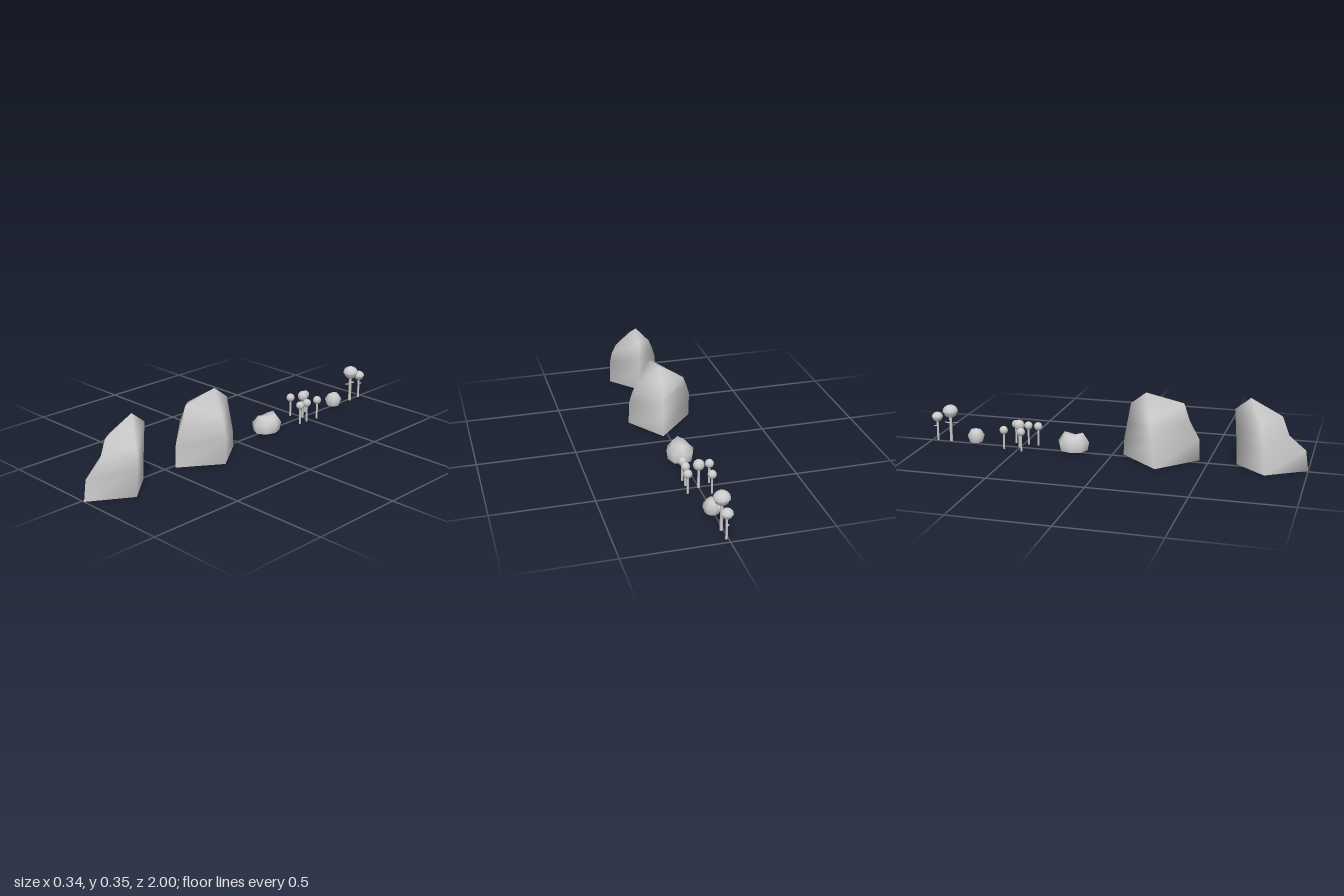
import * as THREE from 'three';

const material = new THREE.MeshStandardMaterial({ color: 0xcccccc, side: THREE.DoubleSide });

function add(parent, name, geometry, x = 0, y = 0, z = 0) {
  const mesh = new THREE.Mesh(geometry, material);
  mesh.name = name;
  mesh.position.set(x, y, z);
  parent.add(mesh);
  return mesh;
}

// Smooth skin over rings of [x, y, z] points (counter-clockwise from above), with apex and flat base
function loft(rings, apex) {
  const n = rings[0].length;
  const base = rings[0];
  const points = [...rings.flat(), apex, ...base];
  const index = [];
  const tip = rings.length * n;
  for (let i = 0; i < rings.length; i++) {
    for (let j = 0; j < n; j++) {
      const k = (j + 1) % n;
      const a = i * n + j, b = i * n + k;
      if (i < rings.length - 1) index.push(a, b, b + n, a, b + n, a + n);
      else index.push(a, b, tip);
    }
  }
  for (let j = 1; j < n - 1; j++) index.push(tip + 1, tip + 2 + j, tip + 1 + j);
  const geometry = new THREE.BufferGeometry();
  geometry.setAttribute('position', new THREE.Float32BufferAttribute(points.flat(), 3));
  geometry.setIndex(index);
  geometry.computeVertexNormals();
  return geometry;
}

// Four corner ridges of a big rock, each listed from the ground up
function bigRock(parent, name, { front, right, back, left, apex }) {
  const rings = front.map((_, i) => [front[i], right[i], back[i], left[i]]);
  add(parent, name, loft(rings, apex));
}

// Eight-sided pebble; levels are [y, radius factor, lift of the front and back ends]
function pebble(parent, name, x, z, rx, rz, levels, top) {
  const rings = levels.map(([y, r, lift]) => Array.from({ length: 8 }, (_, i) => {
    const a = (i / 8) * Math.PI * 2;
    return [Math.sin(a) * rx * r, y + lift * Math.cos(2 * a), Math.cos(a) * rz * r];
  }));
  add(parent, name, loft(rings, [0, top, 0]), x, 0, z);
}

function stem(parent, radius, height) {
  add(parent, 'stem', new THREE.CylinderGeometry(radius, radius, height, 8), 0, height / 2, 0);
}

// Thin pointed leaf running along z; direction is 1 or -1
function leaf(parent, y, length, direction) {
  const shape = new THREE.Shape();
  shape.moveTo(0, 0);
  shape.quadraticCurveTo(0.016, length * 0.6, 0, length);
  shape.quadraticCurveTo(-0.016, length * 0.6, 0, 0);
  const mesh = add(parent, 'leaf', new THREE.ShapeGeometry(shape, 5), 0, y, 0);
  mesh.rotation.x = direction * (Math.PI / 2 - 0.12);
}

export function createModel() {
  const model = new THREE.Group();

  // Stepped rock at the front
  bigRock(model, 'steppedRock', {
    front: [[0.013, 0, 1], [0.013, 0.105, 0.985], [0.013, 0.175, 0.9], [0.013, 0.27, 0.865]],
    right: [[0.147, 0.003, 0.8], [0.147, 0.13, 0.79], [0.137, 0.19, 0.78], [0.115, 0.24, 0.77]],
    back: [[0.013, 0.003, 0.645], [0.013, 0.12, 0.64], [0.013, 0.2, 0.635], [0.013, 0.29, 0.628]],
    left: [[-0.12, 0.003, 0.8], [-0.117, 0.13, 0.79], [-0.1, 0.19, 0.78], [-0.077, 0.245, 0.77]],
    apex: [0.013, 0.353, 0.705],
  });

  // Broad rock behind it
  bigRock(model, 'broadRock', {
    front: [[0.026, 0.003, 0.452], [0.026, 0.115, 0.45], [0.02, 0.21, 0.4], [0.015, 0.3, 0.372]],
    right: [[0.167, 0.004, 0.25], [0.163, 0.13, 0.24], [0.148, 0.185, 0.235], [0.123, 0.24, 0.23]],
    back: [[0.026, 0, 0.055], [0.026, 0.095, 0.06], [0.023, 0.19, 0.078], [0.02, 0.28, 0.095]],
    left: [[-0.17, 0.004, 0.265], [-0.166, 0.14, 0.245], [-0.148, 0.195, 0.235], [-0.127, 0.247, 0.225]],
    apex: [0.015, 0.343, 0.175],
  });

  // Small stones
  pebble(model, 'saddleStone', 0.01, -0.208, 0.07, 0.083,
    [[0.01, 0.9, 0], [0.055, 1, 0], [0.092, 0.6, 0.013]], 0.09);
  pebble(model, 'roundStone', 0.008, -0.75, 0.047, 0.046,
    [[0.01, 0.75, 0], [0.045, 1, 0], [0.073, 0.6, 0.004]], 0.084);

  // Cluster of ball buds: x, z, ball height, ball radius
  const cluster = new THREE.Group();
  cluster.name = 'budCluster';
  model.add(cluster);
  [
    [0, -0.503, 0.122, 0.028],
    [-0.045, -0.573, 0.102, 0.022],
    [0.066, -0.545, 0.105, 0.022],
    [-0.062, -0.472, 0.105, 0.022],
    [0.057, -0.472, 0.105, 0.022],
    [0.057, -0.418, 0.105, 0.022],
  ].forEach(([x, z, y, r]) => {
    const bud = new THREE.Group();
    bud.name = 'bud';
    bud.position.set(x, 0, z);
    stem(bud, r * 0.25, y);
    add(bud, 'ball', new THREE.SphereGeometry(r, 14, 10), 0, y, 0);
    cluster.add(bud);
  });

  // Taller capped flowers: z, head height, radius, leaf directions
  [
    [-0.894, 0.166, 0.041, [1, -1]],
    [-0.97, 0.13, 0.03, [-1]],
  ].forEach(([z, y, r, leaves]) => {
    const flower = new THREE.Group();
    flower.name = 'cappedFlower';
    flower.position.set(0.01, 0, z);
    stem(flower, r * 0.2, y);
    // Upper cap overhangs the lower half with a small rim
    const head = new THREE.LatheGeometry([[0, -0.87], [0.45, -0.77], [0.75, -0.53], [0.9, -0.05]]
      .map(([a, b]) => new THREE.Vector2(a * r, b * r)), 14);
    add(flower, 'lowerHead', head, 0, y, 0);
    const cap = add(flower, 'cap', new THREE.SphereGeometry(r, 14, 6, 0, Math.PI * 2, 0, Math.PI / 2), 0, y - r * 0.05, 0);
    cap.scale.y = 0.9;
    const rim = add(flower, 'capRim', new THREE.RingGeometry(r * 0.88, r, 14), 0, y - r * 0.05, 0);
    rim.rotation.x = Math.PI / 2;
    leaves.forEach((d) => leaf(flower, y * 0.6, d > 0 ? 0.044 : r * 0.85, d));
    model.add(flower);
  });

  return model;
}
